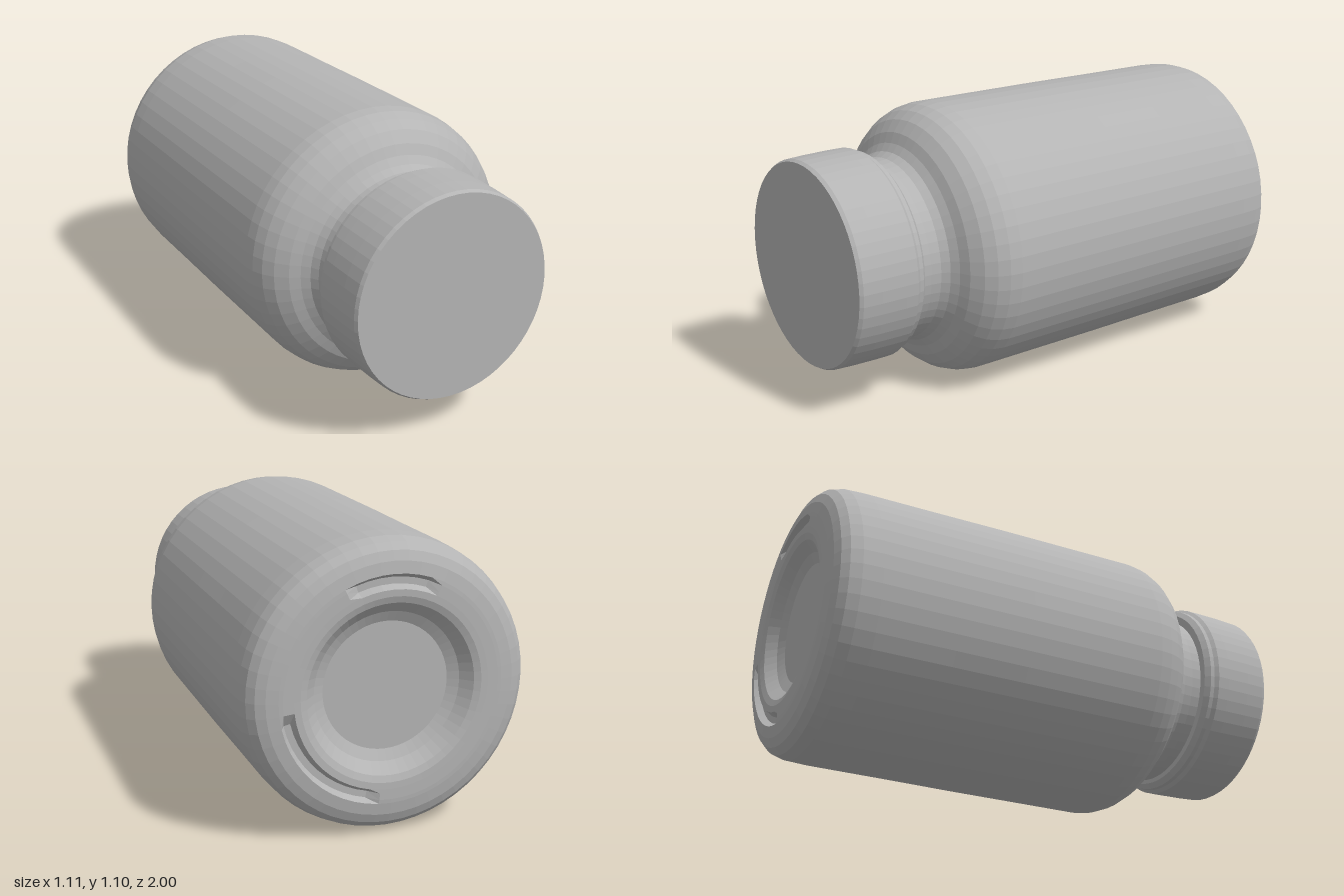
import * as THREE from 'three';

const SIDES = 56;

// Turn a profile of [radius, z] pairs (back to front) around the z axis
function turned(profile) {
  const points = profile.map(([r, z]) => new THREE.Vector2(r, z));
  return new THREE.LatheGeometry(points, SIDES).rotateX(Math.PI / 2);
}

// Press shallow arc-shaped grooves into the base, between two angles in degrees
function pressGrooves(geometry, arcs) {
  const pos = geometry.attributes.position;
  for (let i = 0; i < pos.count; i++) {
    const r = Math.hypot(pos.getX(i), pos.getY(i));
    if (pos.getZ(i) > -0.98 || r < 0.38 || r > 0.42) continue;
    const a = THREE.MathUtils.radToDeg(Math.atan2(pos.getY(i), pos.getX(i)));
    if (arcs.some(([from, to]) => a >= from && a <= to)) pos.setZ(i, pos.getZ(i) + 0.025);
  }
  return geometry;
}

export function createModel() {
  const grey = new THREE.MeshStandardMaterial({ color: 0xb4b4b4, flatShading: true });
  grey.name = 'plain grey';

  const model = new THREE.Group();
  model.name = 'bottle';

  // The bottle lies on its side, very slightly askew
  const bottle = new THREE.Group();
  bottle.name = 'lyingBottle';
  bottle.position.y = 0.555;
  bottle.rotation.y = -0.012;
  model.add(bottle);

  const add = (name, geometry) => {
    const mesh = new THREE.Mesh(geometry, grey);
    mesh.name = name;
    bottle.add(mesh);
    return mesh;
  };

  // Body: recessed base, rounded heel, straight wall, shoulder and neck
  const body = turned([
    [0, -0.925], [0.12, -0.925], [0.24, -0.925], [0.28, -0.945], [0.32, -0.985],
    [0.345, -0.994], [0.37, -0.995], [0.385, -0.995], [0.41, -0.995], [0.425, -0.994],
    [0.47, -0.987], [0.505, -0.972], [0.53, -0.945], [0.543, -0.9], [0.547, -0.82],
    [0.548, -0.5], [0.55, -0.2], [0.55, 0.1], [0.55, 0.38], [0.543, 0.43],
    [0.525, 0.475], [0.495, 0.515], [0.45, 0.55], [0.41, 0.568], [0.38, 0.59],
    [0.362, 0.62], [0.357, 0.66], [0.357, 0.72],
  ]);
  add('body', pressGrooves(body, [[-78, -8], [65, 115]]));

  // Cap: slightly tapered, with a chamfered lower lip and a flat front
  const cap = add('cap', turned([
    [0.34, 0.7], [0.38, 0.7], [0.4, 0.718], [0.402, 0.735], [0.414, 0.75],
    [0.414, 0.8], [0.412, 0.9], [0.408, 0.98], [0.4, 0.994], [0, 0.994],
  ]));
  cap.position.set(-0.008, 0.004, 0);

  return model;
}
